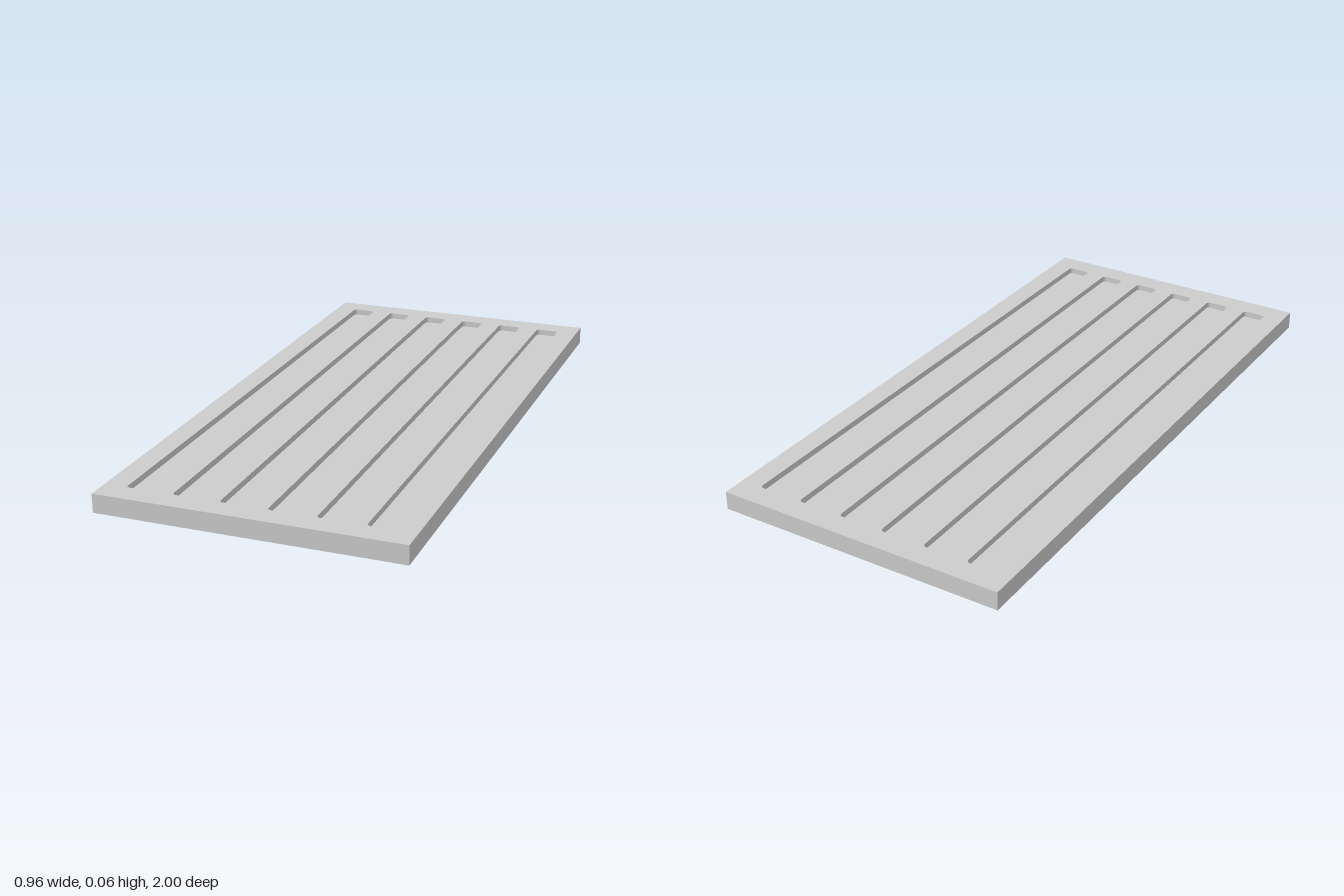
import * as THREE from 'three';

const WIDTH = 0.96, LENGTH = 2, THICK = 0.06;
const SLOTS = 6, PITCH = 0.148, SLOT_W = 0.08, SLOT_L = 1.85, RADIUS = 0.012;
const RECESS = 0.02; // groove depth on each face

// Rounded rectangle centred on (cx, 0)
function roundedRect(path, cx, w, l, r) {
  const x = w / 2, y = l / 2;
  path.moveTo(cx - x + r, -y);
  path.lineTo(cx + x - r, -y);
  path.absarc(cx + x - r, -y + r, r, -Math.PI / 2, 0);
  path.lineTo(cx + x, y - r);
  path.absarc(cx + x - r, y - r, r, 0, Math.PI / 2);
  path.lineTo(cx - x + r, y);
  path.absarc(cx - x + r, y - r, r, Math.PI / 2, Math.PI);
  path.lineTo(cx - x, -y + r);
  path.absarc(cx - x + r, -y + r, r, Math.PI, Math.PI * 1.5);
  return path;
}

// Lay an outline flat and give it a height
function slab(shape, y, height) {
  const geo = new THREE.ExtrudeGeometry(shape, { depth: height, bevelEnabled: false, curveSegments: 4 });
  return geo.rotateX(-Math.PI / 2).translate(0, y, 0);
}

export function createModel() {
  const group = new THREE.Group();
  group.name = 'groovedPanel';
  const material = new THREE.MeshStandardMaterial({ color: 0xcccccc });
  const add = (name, geometry) => {
    const mesh = new THREE.Mesh(geometry, material);
    mesh.name = name;
    group.add(mesh);
  };

  const outline = new THREE.Shape([
    new THREE.Vector2(-WIDTH / 2, -LENGTH / 2),
    new THREE.Vector2(WIDTH / 2, -LENGTH / 2),
    new THREE.Vector2(WIDTH / 2, LENGTH / 2),
    new THREE.Vector2(-WIDTH / 2, LENGTH / 2),
  ]);

  // Thin web closing each slot halfway through the panel
  for (let i = 0; i < SLOTS; i++) {
    const cx = (i - (SLOTS - 1) / 2) * PITCH;
    outline.holes.push(roundedRect(new THREE.Path(), cx, SLOT_W, SLOT_L, RADIUS));
    const web = roundedRect(new THREE.Shape(), cx, SLOT_W, SLOT_L, RADIUS);
    add('slotWeb' + (i + 1), slab(web, RECESS, THICK - 2 * RECESS));
  }

  // Panel body with the long slots cut out
  add('panelFrame', slab(outline, 0, THICK));
  return group;
}
